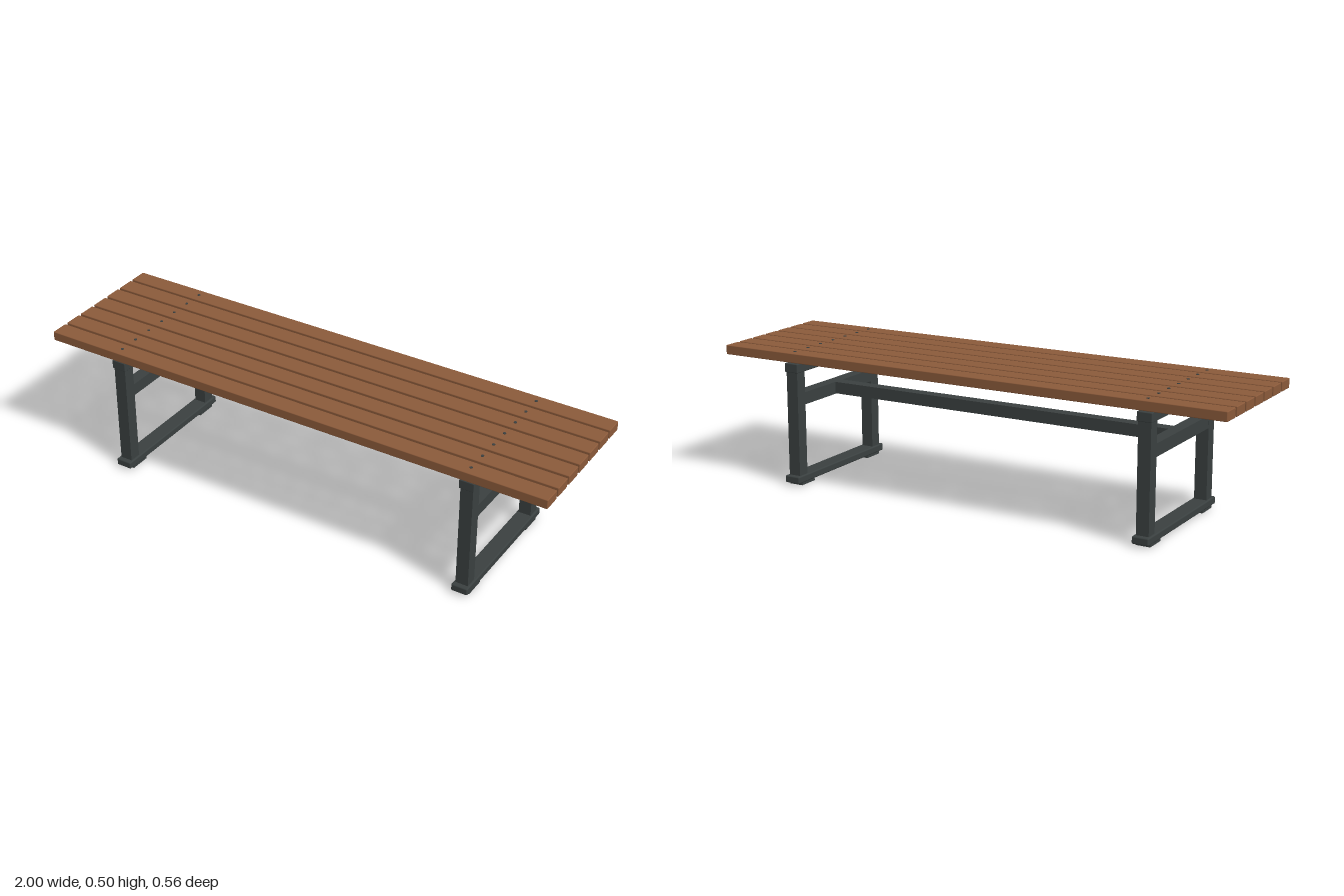
import * as THREE from 'three';
import { RoundedBoxGeometry } from 'three/addons/geometries/RoundedBoxGeometry.js';

export function createModel() {
  const bench = new THREE.Group();
  bench.name = 'bench';

  const wood = new THREE.MeshStandardMaterial({ color: 0x8b5a3a });
  wood.name = 'wood';
  const steel = new THREE.MeshStandardMaterial({ color: 0x3a4040 });
  steel.name = 'dark steel';

  // Box between two heights; a radius softens its edges
  function bar(parent, name, material, [w, d], [y0, y1], x = 0, z = 0, radius = 0) {
    const h = y1 - y0;
    const geometry = radius
      ? new RoundedBoxGeometry(w, h, d, 2, radius)
      : new THREE.BoxGeometry(w, h, d);
    const mesh = new THREE.Mesh(geometry, material);
    mesh.name = name;
    mesh.position.set(x, (y0 + y1) / 2, z);
    parent.add(mesh);
    return mesh;
  }

  const frameX = 0.709;
  const slatPitch = 0.079;

  // Seven seat slats, each bolted above both frames
  const boltGeometry = new THREE.CylinderGeometry(0.0055, 0.0055, 0.006, 12);
  for (let i = -3; i <= 3; i++) {
    const z = i * slatPitch;
    bar(bench, 'seatSlat', wood, [2, 0.068], [0.465, 0.5], 0, z, 0.003);
    for (const side of [-1, 1]) {
      const bolt = new THREE.Mesh(boltGeometry, steel);
      bolt.name = 'slatBolt';
      bolt.position.set(side * frameX, 0.499, z);
      bench.add(bolt);
    }
  }

  // Two end frames
  for (const side of [-1, 1]) {
    const frame = new THREE.Group();
    frame.name = side > 0 ? 'leftFrame' : 'rightFrame';
    frame.position.x = side * frameX;
    bar(frame, 'topBeam', steel, [0.056, 0.53], [0.426, 0.46], 0, 0, 0.003);
    bar(frame, 'crossRail', steel, [0.046, 0.43], [0.3, 0.346]);
    bar(frame, 'footBeam', steel, [0.062, 0.556], [0.01, 0.037], 0, 0, 0.005);
    for (const end of [-1, 1]) {
      bar(frame, 'leg', steel, [0.047, 0.046], [0.036, 0.427], 0, end * 0.237);
      bar(frame, 'footPad', steel, [0.054, 0.078], [0, 0.011], 0, end * 0.214);
    }
    bench.add(frame);
  }

  // Long stretcher joining the frames
  bar(bench, 'stretcher', steel, [1.38, 0.046], [0.302, 0.346]);

  return bench;
}
